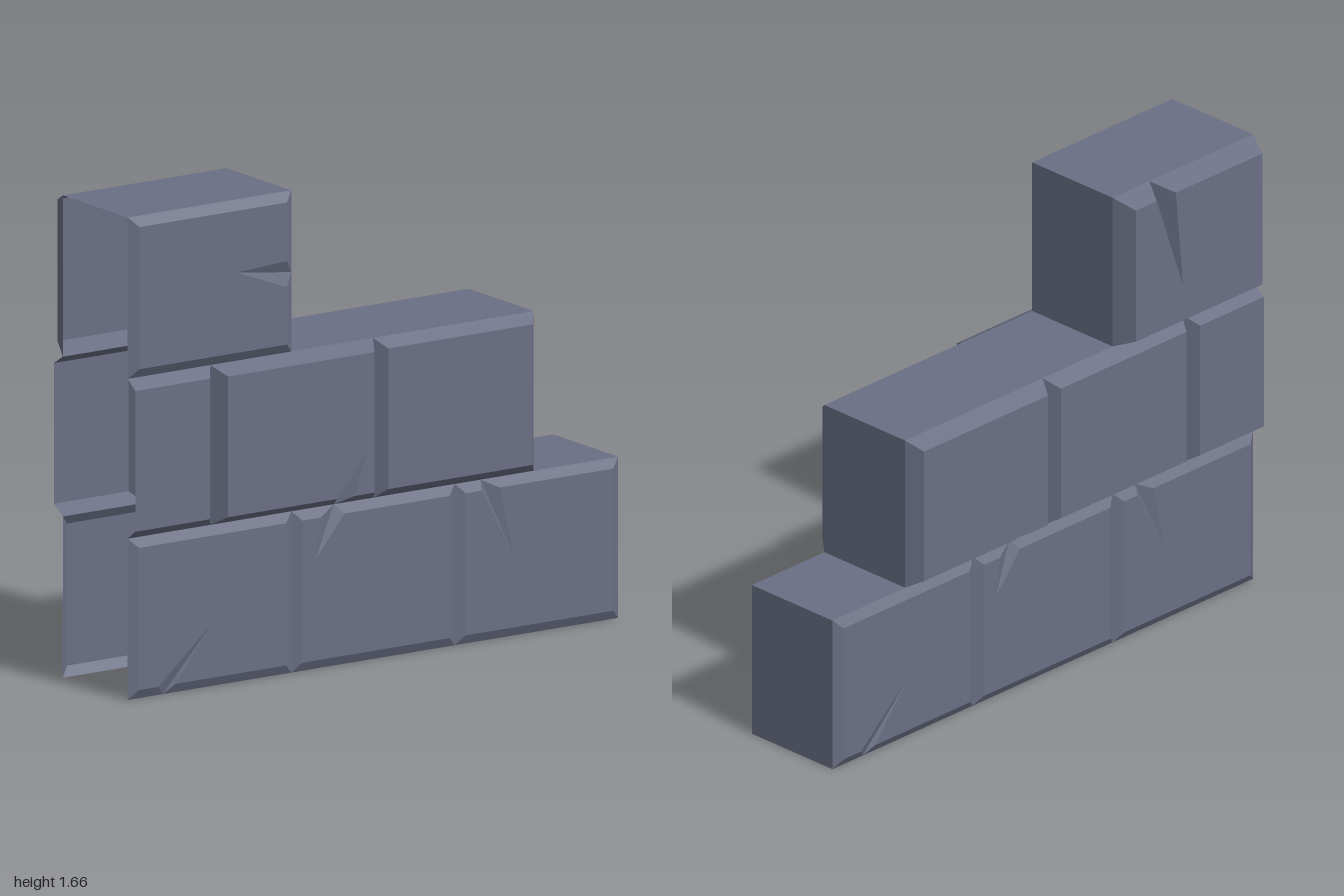
import * as THREE from 'three';

const FRONT = 0.2, BACK = 0.178;   // core wall depth, front and back
const Y = [0, 0.555, 1.105, 1.66]; // course heights
const BEVEL = 0.033;

const slate = new THREE.MeshStandardMaterial({ color: 0x6a6f84, side: THREE.DoubleSide });
slate.name = 'slate stone';

// Builds a flat-faced mesh from polygons listed counter-clockwise
function polyMesh(name, polys) {
  const pos = [];
  for (const p of polys) {
    const flat = p.map(v => new THREE.Vector2(v.x, v.y));
    const tris = p.length > 4 ? THREE.ShapeUtils.triangulateShape(flat, [])
      : p.length === 4 ? [[0, 1, 2], [0, 2, 3]] : [[0, 1, 2]];
    for (const t of tris) for (const i of t) pos.push(p[i].x, p[i].y, p[i].z);
  }
  const geo = new THREE.BufferGeometry();
  geo.setAttribute('position', new THREE.Float32BufferAttribute(pos, 3));
  geo.computeVertexNormals();
  const mesh = new THREE.Mesh(geo, slate);
  mesh.name = name;
  return mesh;
}

// Bevelled brick front. Edges run counter-clockwise: 0 bottom, 1 right, 2 top, 3 left.
// crack: { edge, v: valley on the outer edge, a/b: opening on the inner edge, tip }
function brickFace(name, { x0, x1, row, z, crack, plain }, zCore) {
  const V = (x, y, d) => new THREE.Vector3(x, y, d);
  const y0 = Y[row], y1 = Y[row + 1];
  const inset = i => (i === plain ? 0 : BEVEL);
  const l = x0 + inset(3), r = x1 - inset(1), b = y0 + BEVEL, t = y1 - BEVEL;
  const O = [V(x0, y0, zCore), V(x1, y0, zCore), V(x1, y1, zCore), V(x0, y1, zCore)];
  const I = [V(l, b, z), V(r, b, z), V(r, t, z), V(l, t, z)];
  const polys = [], face = [];
  for (let i = 0; i < 4; i++) {
    const j = (i + 1) % 4;
    face.push(I[i]);
    if (crack && crack.edge === i) {
      // point on an edge, given its coordinate along that edge
      const on = (p, c) => (i % 2 ? V(p.x, c, p.z) : V(c, p.y, p.z));
      const v = on(O[i], crack.v), a = on(I[i], crack.a), e = on(I[i], crack.b);
      const tip = V(crack.tip[0], crack.tip[1], z);
      polys.push([O[i], v, a, I[i]], [v, O[j], I[j], e], [v, e, tip], [v, tip, a]);
      face.push(a, tip, e);
    } else if (i !== plain) {
      polys.push([O[i], O[j], I[j], I[i]]);
    }
  }
  polys.push(face);
  return polyMesh(name, polys);
}

export function createModel() {
  const wall = new THREE.Group();
  wall.name = 'stoneWall';

  // Bottom course cracks, shared by both sides
  const bottom = z => [
    { x0: -1, x1: -0.333, row: 0, z, crack: { edge: 0, v: -0.856, a: -0.888, b: -0.818, tip: [-0.663, 0.227] } },
    { x0: -0.333, x1: 0.333, row: 0, z, crack: { edge: 2, v: -0.16, a: -0.128, b: -0.225, tip: [-0.246, 0.382] } },
    { x0: 0.333, x1: 1, row: 0, z, crack: { edge: 2, v: 0.438, a: 0.505, b: 0.43, tip: [0.561, 0.28] } },
  ];
  const lowCrack = { edge: 0, v: -0.16, a: -0.185, b: -0.112, tip: [-0.07, 0.725] };

  const frontBricks = [
    ...bottom(0.218),
    { x0: -1, x1: -0.663, row: 1, z: 0.245, plain: 3 },
    { x0: -0.663, x1: 0, row: 1, z: 0.256, crack: lowCrack },
    { x0: 0, x1: 0.655, row: 1, z: 0.242 },
    { x0: -1, x1: -0.333, row: 2, z: 0.222, crack: { edge: 1, v: 1.378, a: 1.335, b: 1.425, tip: [-0.572, 1.415] } },
  ];
  // Back bricks are laid out as seen from behind, then turned around
  const backBricks = [
    ...bottom(0.2),
    { x0: -0.655, x1: 0, row: 1, z: 0.236, crack: lowCrack },
    { x0: 0, x1: 0.663, row: 1, z: 0.231 },
    { x0: 0.663, x1: 1, row: 1, z: 0.231, plain: 1 },
    { x0: 0.333, x1: 1, row: 2, z: 0.255, crack: { edge: 2, v: 0.508, a: 0.556, b: 0.465, tip: [0.59, 1.27] } },
  ];
  const front = new THREE.Group(), back = new THREE.Group();
  front.name = 'frontBricks';
  back.name = 'backBricks';
  back.rotation.y = Math.PI;
  frontBricks.forEach((s, i) => front.add(brickFace('frontBrick' + (i + 1), s, FRONT)));
  backBricks.forEach((s, i) => back.add(brickFace('backBrick' + (i + 1), s, BACK)));
  wall.add(front, back);

  // Exposed step tops and right ends; the left end and underside stay open
  const ends = [1, 0.655, -0.333, -1];
  for (let r = 0; r < 3; r++) {
    const x = ends[r], xi = ends[r + 1], y0 = Y[r], y1 = Y[r + 1];
    const P = (a, b, c) => new THREE.Vector3(a, b, c);
    wall.add(polyMesh('stepTop' + (r + 1), [[P(xi, y1, FRONT), P(x, y1, FRONT), P(x, y1, -BACK), P(xi, y1, -BACK)]]));
    wall.add(polyMesh('rightEnd' + (r + 1), [[P(x, y0, FRONT), P(x, y0, -BACK), P(x, y1, -BACK), P(x, y1, FRONT)]]));
  }
  return wall;
}
